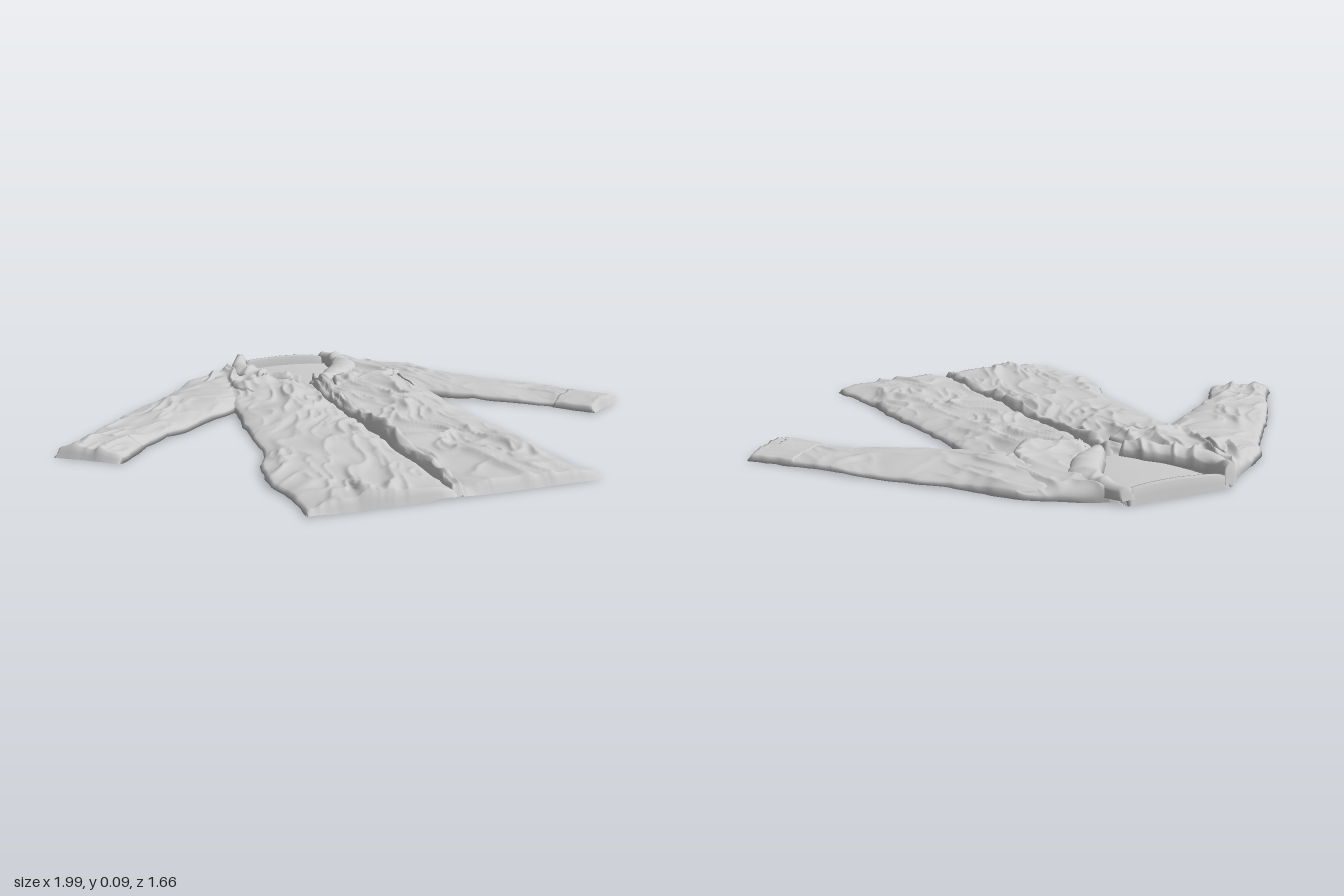
import * as THREE from 'three';

const material = new THREE.MeshStandardMaterial({ color: 0xcccccc, side: THREE.DoubleSide });

// Smooth value noise in 0..1
const hash = (i, j) => {
  const h = Math.sin(i * 127.1 + j * 311.7) * 43758.5453;
  return h - Math.floor(h);
};
function noise(x, y) {
  const i = Math.floor(x), j = Math.floor(y);
  const ease = (f) => f * f * (3 - 2 * f);
  const u = ease(x - i), v = ease(y - j);
  const low = hash(i, j) * (1 - u) + hash(i + 1, j) * u;
  const high = hash(i, j + 1) * (1 - u) + hash(i + 1, j + 1) * u;
  return low * (1 - v) + high * v;
}

// Sharp-crested creases running along a grain direction
const ridge = (x, y) => Math.pow(1 - Math.abs(2 * noise(x, y) - 1), 3);
function creases(x, z, angle) {
  const c = Math.cos(angle), s = Math.sin(angle);
  const bendX = 0.12 * (noise(x * 6 + 9, z * 6) - 0.5);
  const bendZ = 0.12 * (noise(x * 6, z * 6 + 40) - 0.5);
  const across = x * c - z * s + bendX, along = x * s + z * c + bendZ;
  const mask = 0.3 + 0.7 * noise(x * 5 + 70, z * 4 + 30);
  return mask * (0.024 * ridge(across * 13 + 50, along * 4.5 + 20)
    + 0.013 * ridge(across * 30 + 11, along * 13 + 80))
    + 0.012 * noise(x * 7 + 31, z * 5 + 17);
}

// Cloth on the body: long vertical folds, rounder at the chest
const bodyTop = (x, z) =>
  0.028 + creases(x, z, x > 0 ? 0.2 : -0.22) + 0.012 * Math.exp(-(((z + 0.35) / 0.25) ** 2));
const floorSide = (x, z) => 0.004 + 0.012 * ridge(x * 7 + 5, z * 2.5 + 8) * noise(x * 4, z * 4 + 3);

// Closed cloth shape from rows of [ax, az, bx, bz]: top surface from a to b, underside back again
function cloth(name, rows, [n, k, m], top, bottom = floorSide, edge = 0.35) {
  const sideA = new THREE.CatmullRomCurve3(rows.map((r) => new THREE.Vector3(r[0], 0, r[1])));
  const sideB = new THREE.CatmullRomCurve3(rows.map((r) => new THREE.Vector3(r[2], 0, r[3])));
  const ring = n + k, positions = [], index = [];
  for (let j = 0; j <= m; j++) {
    const a = sideA.getPoint(j / m), b = sideB.getPoint(j / m);
    const end = Math.min(1, Math.min(j, m - j) / 2);
    for (let i = 0; i < ring; i++) {
      const s = i <= n ? i / n : 1 - (i - n) / k;
      const p = a.clone().lerp(b, s);
      p.x += 0.012 * (noise(p.x * 25, p.z * 25) - 0.5);
      const low = bottom(p.x, p.z);
      const swell = Math.pow(Math.max(0, Math.sin(Math.PI * s)), edge) * end;
      const rise = i <= n ? Math.max(0.003, top(p.x, p.z) - low) * swell : 0;
      positions.push(p.x, low + rise, p.z);
      if (j < m) {
        const p0 = j * ring + i, p1 = j * ring + ((i + 1) % ring);
        index.push(p0, p0 + ring, p1, p1, p0 + ring, p1 + ring);
      }
    }
  }
  const geometry = new THREE.BufferGeometry();
  geometry.setAttribute('position', new THREE.Float32BufferAttribute(positions, 3));
  geometry.setIndex(index);
  geometry.computeVertexNormals();
  const mesh = new THREE.Mesh(geometry, material);
  mesh.name = name;
  return mesh;
}

const mirror = (rows) => rows.map(([ax, az, bx, bz]) => [-bx, bz, -ax, az]);

export function createModel() {
  const coat = new THREE.Group();
  coat.name = 'coat';

  // Front panels, joined to the back at the sides
  const leftPanel = [
    [0.17, -0.80, 0.20, -0.79], [0.17, -0.70, 0.30, -0.725], [0.12, -0.60, 0.42, -0.63],
    [0.06, -0.50, 0.43, -0.50], [0, -0.42, 0.41, -0.40], [0, -0.20, 0.38, -0.20],
    [0, 0, 0.385, 0], [0, 0.25, 0.405, 0.25], [0, 0.40, 0.42, 0.40],
    [0, 0.62, 0.43, 0.62], [0.015, 0.83, 0.47, 0.82],
  ];
  const rightPanel = [
    [-0.20, -0.79, -0.17, -0.80], [-0.30, -0.72, -0.17, -0.70], [-0.42, -0.62, -0.12, -0.60],
    [-0.42, -0.50, -0.06, -0.50], [-0.40, -0.40, 0, -0.42], [-0.355, -0.20, 0, -0.20],
    [-0.375, 0, 0, 0], [-0.39, 0.25, 0, 0.25], [-0.435, 0.40, 0, 0.40],
    [-0.46, 0.57, 0, 0.57], [-0.43, 0.70, 0, 0.70], [-0.43, 0.83, 0.01, 0.83],
  ];
  coat.add(cloth('leftFrontPanel', leftPanel, [72, 16, 200], bodyTop));
  coat.add(cloth('rightFrontPanel', rightPanel, [72, 16, 200], bodyTop));

  // Smooth inside of the back, seen through the neck
  const yoke = [[-0.18, -0.835, 0.18, -0.835], [-0.17, -0.68, 0.17, -0.68], [-0.08, -0.40, 0.08, -0.40]];
  coat.add(cloth('backYoke', yoke, [30, 8, 40], (x, z) => 0.02 + 0.006 * noise(x * 8, z * 8)));

  // Sleeves and cuffs
  const sleeve = [
    [0.33, -0.24, 0.26, -0.735], [0.38, -0.20, 0.41, -0.645], [0.47, -0.13, 0.53, -0.49],
    [0.57, -0.05, 0.66, -0.345], [0.66, 0.015, 0.79, -0.19], [0.725, 0.075, 0.885, -0.055],
    [0.80, 0.18, 0.965, 0.045],
  ];
  const cuff = [[0.715, 0.07, 0.875, -0.07], [0.76, 0.135, 0.93, 0], [0.815, 0.205, 0.995, 0.07]];
  for (const side of [1, -1]) {
    const label = side > 0 ? 'left' : 'right';
    const place = (rows) => (side > 0 ? rows : mirror(rows));
    const sleeveTop = (x, z) => 0.027 + 0.9 * creases(x, z, side * 0.75)
      + 0.014 * Math.max(0, 1 - Math.abs(Math.abs(x) - 0.35) / 0.35);
    coat.add(cloth(label + 'Sleeve', place(sleeve), [56, 12, 100], sleeveTop));
    coat.add(cloth(label + 'Cuff', place(cuff), [32, 8, 24],
      (x, z) => 0.03 + 0.7 * creases(x, z, side * 0.75), floorSide, 0.25));

    // Turned-down collar and lapel
    const lapel = [
      [0.15, -0.835, 0.19, -0.83], [0.165, -0.76, 0.225, -0.755], [0.155, -0.68, 0.25, -0.64],
      [0.115, -0.60, 0.21, -0.55], [0.07, -0.53, 0.14, -0.47], [0.02, -0.46, 0.05, -0.41],
    ];
    coat.add(cloth(label + 'Lapel', place(lapel), [16, 6, 70],
      (x, z) => 0.053 + 0.7 * creases(x, z, side * 0.5), (x, z) => 0.02));

    // Chest pocket flap lying on the panel
    const flap = [[0.07, -0.43, 0.31, -0.45], [0.06, -0.38, 0.31, -0.39], [0.05, -0.33, 0.25, -0.325]];
    coat.add(cloth(label + 'PocketFlap', place(flap), [36, 8, 20],
      (x, z) => bodyTop(x, z) + 0.009, (x, z) => bodyTop(x, z) - 0.012, 0.2));
  }

  // Collar band behind the neck
  const band = [[-0.175, -0.835, 0.175, -0.835], [-0.17, -0.815, 0.17, -0.815], [-0.165, -0.795, 0.165, -0.795]];
  coat.add(cloth('collarBand', band, [30, 6, 10], (x, z) => 0.048 + 0.008 * noise(x * 12, z * 12), undefined, 0.1));

  // Overlapping button strip down the centre
  const strip = [
    [-0.02, -0.45, 0.02, -0.45], [-0.025, -0.30, 0.035, -0.30], [-0.02, -0.10, 0.025, -0.10],
    [-0.005, 0.12, 0.04, 0.12], [-0.005, 0.35, 0.045, 0.35], [-0.01, 0.60, 0.04, 0.60], [-0.015, 0.825, 0.03, 0.825],
  ];
  coat.add(cloth('buttonStrip', strip, [14, 6, 150],
    (x, z) => bodyTop(x, z) + 0.004 + 0.008 * ridge(x * 30, z * 9), floorSide, 0.4));

  return coat;
}
